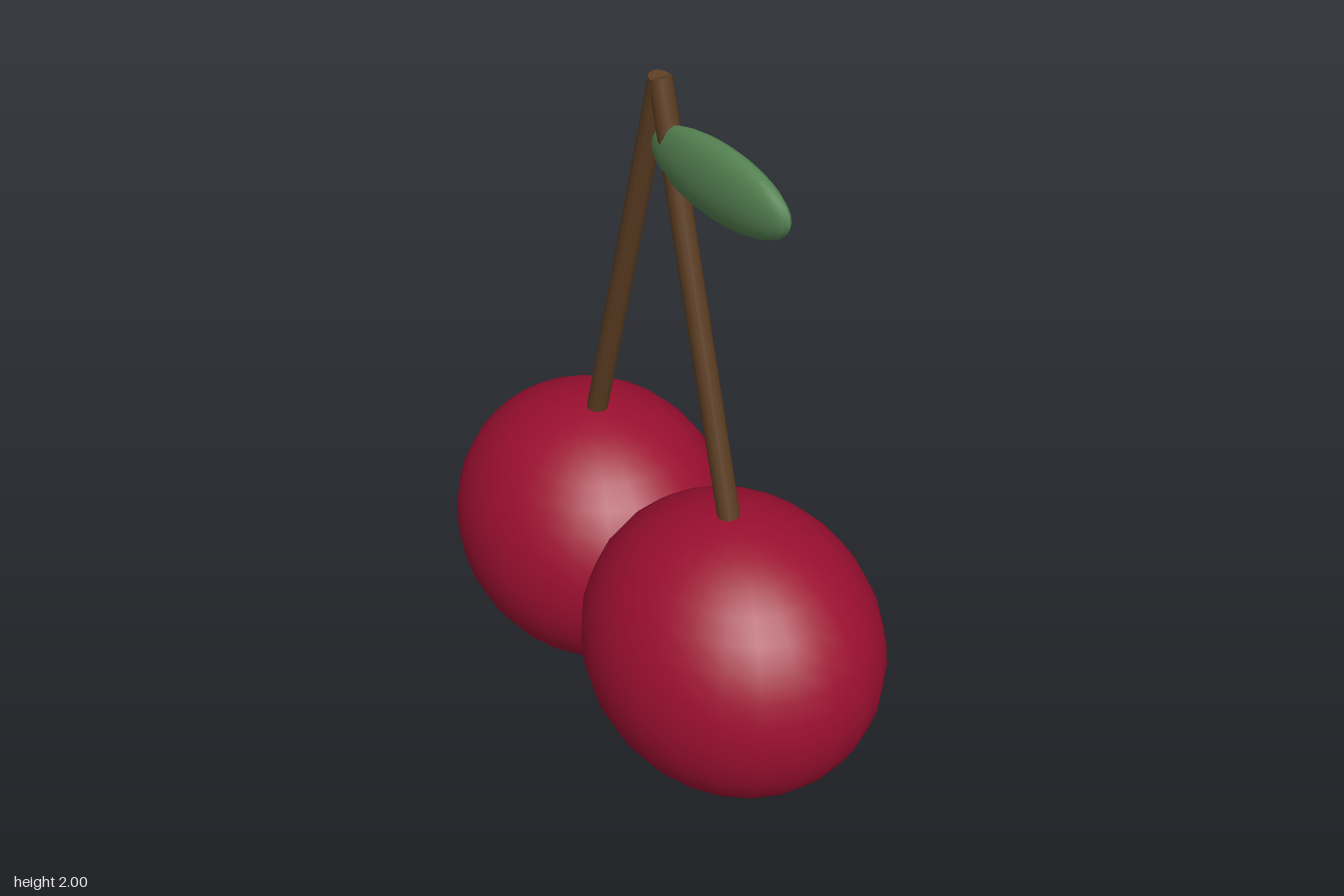
import * as THREE from 'three';

const cherryRed = new THREE.MeshStandardMaterial({ color: 0x9b0f30 });
cherryRed.name = 'cherryRed';
const stemBrown = new THREE.MeshStandardMaterial({ color: 0x5c3d22 });
stemBrown.name = 'stemBrown';
const leafGreen = new THREE.MeshStandardMaterial({ color: 0x558252 });
leafGreen.name = 'leafGreen';

// Smooth ellipsoid from its centre and half sizes
function ellipsoid(name, material, centre, radii, segments, rings) {
  const geometry = new THREE.SphereGeometry(1, segments, rings).scale(...radii);
  const mesh = new THREE.Mesh(geometry, material);
  mesh.name = name;
  mesh.position.set(...centre);
  return mesh;
}

// Straight round rod between two points
function rod(name, material, from, to, radius) {
  const axis = to.clone().sub(from);
  const mesh = new THREE.Mesh(new THREE.CylinderGeometry(radius, radius, axis.length(), 12), material);
  mesh.name = name;
  mesh.position.copy(from).add(to).multiplyScalar(0.5);
  mesh.quaternion.setFromUnitVectors(new THREE.Vector3(0, 1, 0), axis.normalize());
  return mesh;
}

export function createModel() {
  const model = new THREE.Group();
  model.name = 'cherryPair';

  // Two overlapping fruits, each with a stem leaning to the shared tip
  for (const [side, s] of [['left', 1], ['right', -1]]) {
    model.add(ellipsoid(side + 'Cherry', cherryRed, [s * 0.35, 0.425, 0], [0.465, 0.425, 0.407], 24, 18));
    const foot = new THREE.Vector3(s * 0.35, 0.74, 0);
    const tip = new THREE.Vector3(0, 1.992, 0);
    model.add(rod(side + 'Stem', stemBrown, foot, tip, 0.031));
  }

  // Leaf pierced by the left stem
  model.add(ellipsoid('leaf', leafGreen, [0.245, 1.81, 0], [0.276, 0.103, 0.05], 24, 18));
  return model;
}
